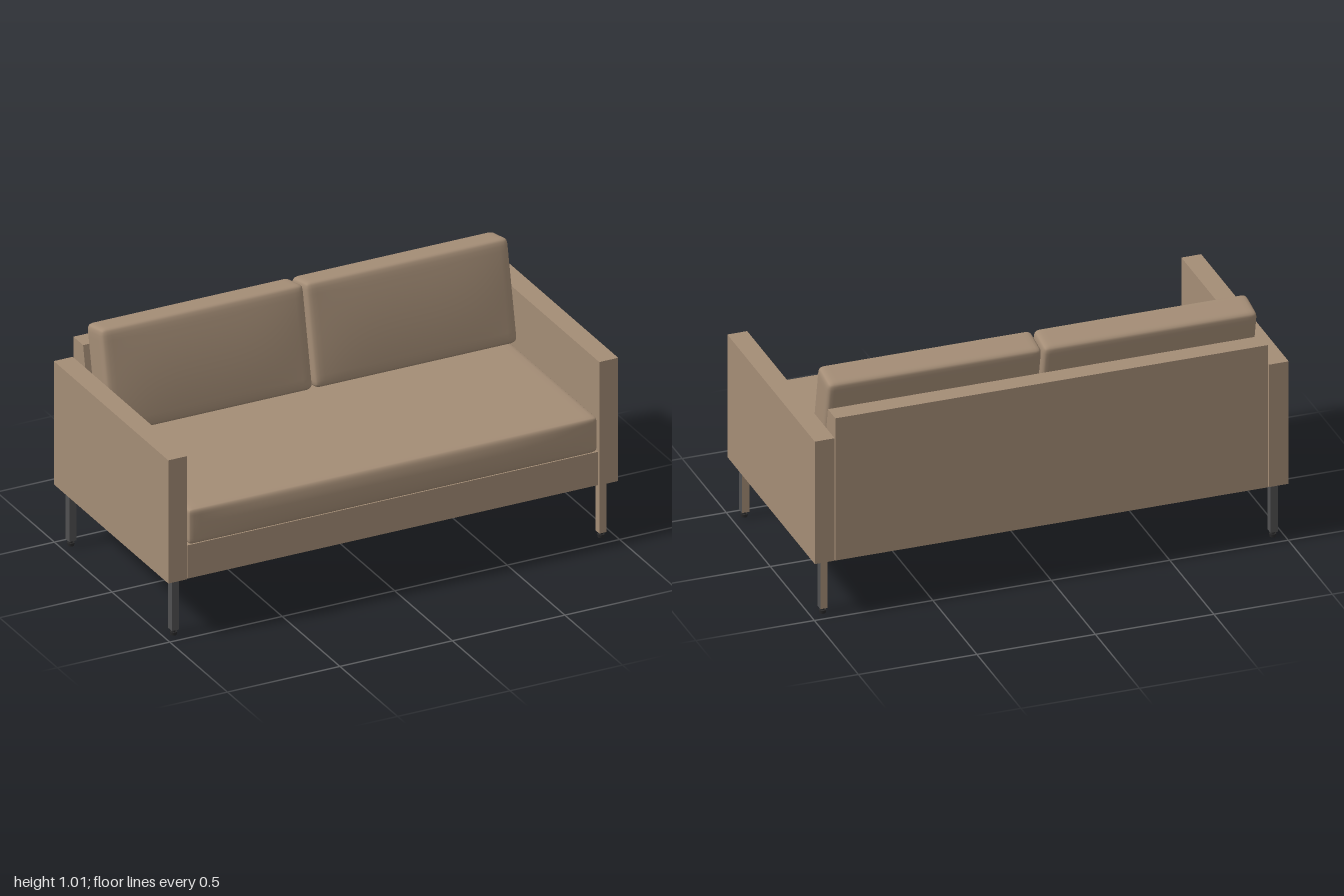
import * as THREE from 'three';
import { mergeVertices } from 'three/addons/utils/BufferGeometryUtils.js';

const fabric = new THREE.MeshStandardMaterial({ color: 0xa48d76 });
fabric.name = 'tan fabric';
const metal = new THREE.MeshStandardMaterial({ color: 0x505051 });
metal.name = 'grey metal';
const rubber = new THREE.MeshStandardMaterial({ color: 0x29292a });
rubber.name = 'dark rubber';

function add(parent, name, geometry, material, x = 0, y = 0, z = 0) {
  const mesh = new THREE.Mesh(geometry, material);
  mesh.name = name;
  mesh.position.set(x, y, z);
  parent.add(mesh);
  return mesh;
}

// Box from its lower and upper corners
function block(parent, name, [x0, y0, z0], [x1, y1, z1], material) {
  const g = new THREE.BoxGeometry(x1 - x0, y1 - y0, z1 - z0);
  return add(parent, name, g, material, (x0 + x1) / 2, (y0 + y1) / 2, (z0 + z1) / 2);
}

// Soft box: rounded edges and a front face that swells forward
function cushion(w, h, d, radius, swell) {
  let g = new THREE.BoxGeometry(2, 2, 2, 28, 18, 18);
  g.deleteAttribute('uv');
  g.deleteAttribute('normal');
  g = mergeVertices(g);
  const pos = g.attributes.position;
  const half = new THREE.Vector3(w / 2, h / 2, d / 2);
  const inner = half.clone().subScalar(radius);
  const p = new THREE.Vector3(), core = new THREE.Vector3();
  for (let i = 0; i < pos.count; i++) {
    p.fromBufferAttribute(pos, i);
    // crowd the rows towards the edges
    p.set(...p.toArray().map((t) => Math.sin(t * Math.PI / 2))).multiply(half);
    core.copy(p).clamp(inner.clone().negate(), inner);
    p.sub(core).setLength(radius).add(core);
    const u = p.x / half.x, v = p.y / half.y;
    if (p.z > 0) p.z += swell * (1 - u ** 4) * (1 - v * v) * (p.z / half.z);
    pos.setXYZ(i, p.x, p.y, p.z);
  }
  g.computeVertexNormals();
  return g;
}

export function createModel() {
  const sofa = new THREE.Group();
  sofa.name = 'sofa';

  // Frame: base and two arms
  block(sofa, 'base', [-0.912, 0.253, -0.5], [0.912, 0.4, 0.484], fabric);
  for (const s of [-1, 1]) {
    const arm = block(sofa, s > 0 ? 'leftArm' : 'rightArm',
      [0.916, 0.253, -0.505], [1, 0.797, 0.488], fabric);
    arm.position.x *= s;
  }

  // Back panel with a sloping front face
  const profile = new THREE.Shape([
    new THREE.Vector2(0.505, 0.253), new THREE.Vector2(0.505, 0.885),
    new THREE.Vector2(0.42, 0.885), new THREE.Vector2(0.325, 0.4),
    new THREE.Vector2(0.325, 0.253),
  ]);
  const panel = new THREE.ExtrudeGeometry(profile, { depth: 1.826, bevelEnabled: false });
  panel.rotateY(Math.PI / 2); // profile x becomes -z, depth becomes x
  panel.translate(-0.913, 0, 0);
  add(sofa, 'backPanel', panel, fabric);

  // Seat cushion and two leaning back cushions
  add(sofa, 'seatCushion', cushion(1.818, 0.157, 0.835, 0.018, 0.016), fabric, 0, 0.478, 0.072);
  for (const s of [-1, 1]) {
    const c = add(sofa, s > 0 ? 'leftBackCushion' : 'rightBackCushion',
      cushion(0.902, 0.437, 0.142, 0.024, 0.014), fabric, s * 0.455, 0.784, -0.303);
    c.rotation.x = -0.2;
  }

  // Legs with adjustable feet
  const legs = [[-0.955, metal], [0.945, [metal, fabric, metal, metal, fabric, fabric]]];
  for (const [x, material] of legs) {
    for (const z of [0.445, -0.445]) {
      const leg = new THREE.Group();
      leg.name = (z > 0 ? 'front' : 'back') + (x > 0 ? 'Left' : 'Right') + 'Leg';
      leg.position.set(x, 0, z);
      add(leg, 'post', new THREE.BoxGeometry(0.031, 0.23, 0.034), material, 0, 0.14, 0);
      add(leg, 'mountingPlate', new THREE.BoxGeometry(0.036, 0.006, 0.042), metal, 0, 0.25, 0);
      add(leg, 'footStem', new THREE.CylinderGeometry(0.008, 0.008, 0.02, 16), rubber, 0, 0.018, 0);
      add(leg, 'footPad', new THREE.CylinderGeometry(0.015, 0.013, 0.014, 20), rubber, 0, 0.007, 0);
      sofa.add(leg);
    }
  }
  return sofa;
}
